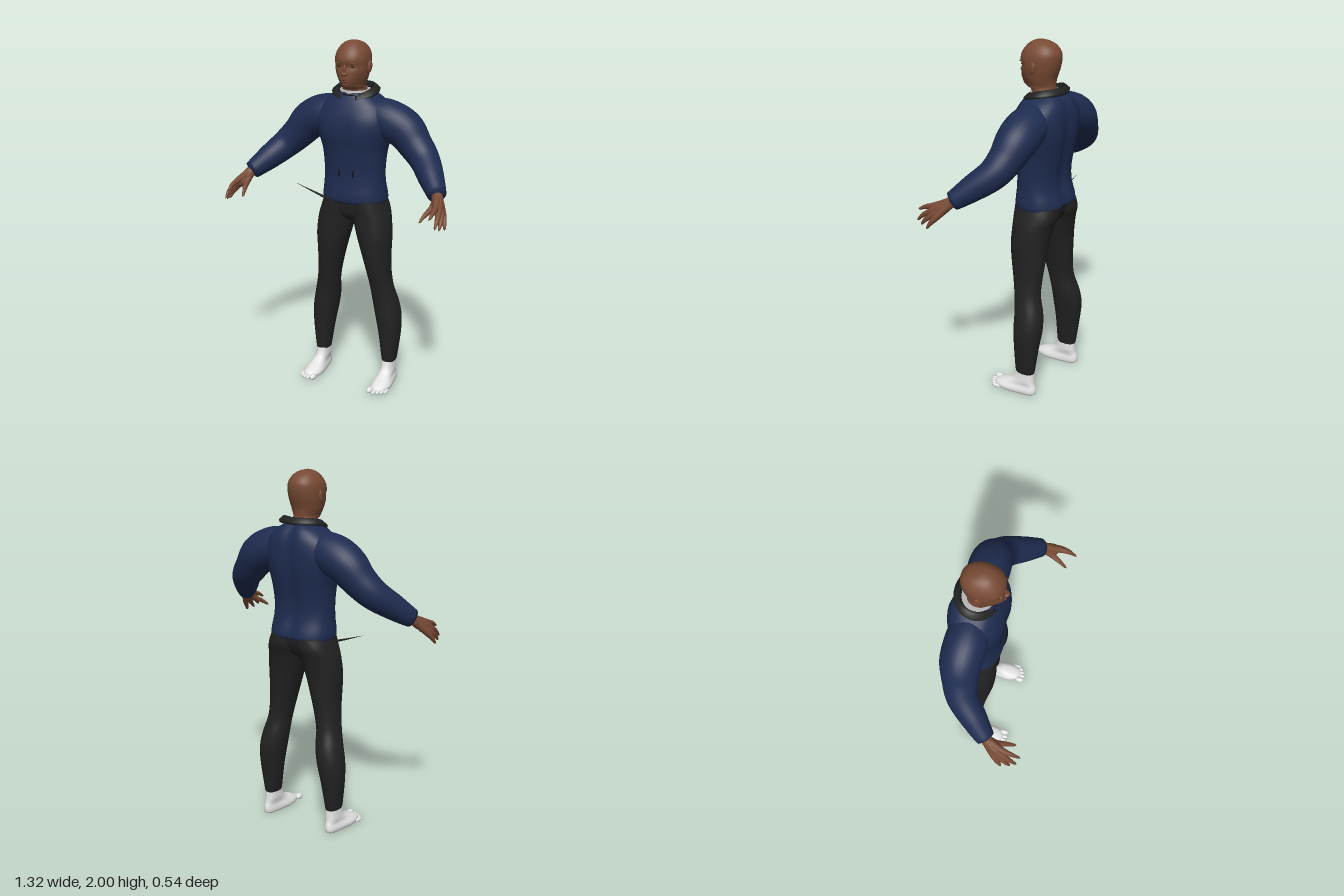
import * as THREE from 'three';
import { mergeVertices } from 'three/addons/utils/BufferGeometryUtils.js';

const paint = (name, color) => Object.assign(new THREE.MeshStandardMaterial({ color }), { name });

// Catmull-Rom blend of equally long rows of numbers, t in 0..1
function blend(rows, t) {
  const f = t * (rows.length - 1), i = Math.min(Math.floor(f), rows.length - 2), u = f - i;
  const at = k => rows[Math.max(0, Math.min(rows.length - 1, k))];
  const [a, b, c, d] = [at(i - 1), at(i), at(i + 1), at(i + 2)];
  return b.map((_, k) => b[k] + 0.5 * u * (c[k] - a[k]
    + u * (2 * a[k] - 5 * b[k] + 4 * c[k] - d[k] + u * (3 * (b[k] - c[k]) + d[k] - a[k]))));
}

function bend(geo, rule) {
  const p = geo.attributes.position, v = new THREE.Vector3();
  for (let i = 0; i < p.count; i++) {
    v.fromBufferAttribute(p, i);
    rule(v, i);
    p.setXYZ(i, v.x, v.y, v.z);
  }
  return geo;
}

function smooth(geo) {
  geo.deleteAttribute('uv');
  geo.deleteAttribute('normal');
  const merged = mergeVertices(geo, 1e-5);
  merged.computeVertexNormals();
  return merged;
}

// Stacked level sections; rows are [y, xMin, xMax, zFront, zBack]
function loft(rows, { power = 2.2, steps = 5, sides = 40, rule } = {}) {
  const pos = [], idx = [], n = (rows.length - 1) * steps;
  const soft = c => Math.sign(c) * Math.abs(c) ** (2 / power);
  for (let i = 0; i <= n; i++) {
    const [y, x0, x1, zf, zb] = blend(rows, i / n);
    for (let j = 0; j < sides; j++) {
      const a = j / sides * Math.PI * 2;
      pos.push((x0 + x1) / 2 + (x1 - x0) / 2 * soft(Math.cos(a)), y, (zf + zb) / 2 + (zf - zb) / 2 * soft(Math.sin(a)));
      const p = i * sides + j, q = i * sides + (j + 1) % sides;
      if (i < n) idx.push(p, p + sides, q, q, p + sides, q + sides);
    }
  }
  const low = pos.length / 3, top = n * sides;
  for (const r of [rows[0], rows[rows.length - 1]]) pos.push((r[1] + r[2]) / 2, r[0], (r[3] + r[4]) / 2);
  for (let j = 0; j < sides; j++) {
    const k = (j + 1) % sides;
    idx.push(low, j, k, low + 1, top + k, top + j);
  }
  const geo = new THREE.BufferGeometry();
  geo.setAttribute('position', new THREE.Float32BufferAttribute(pos, 3));
  geo.setIndex(idx);
  if (rule) bend(geo, rule);
  return smooth(geo);
}

// Round limb of varying thickness; points are [x, y, z, radius]
function limb(points, steps = 24, sides = 16) {
  const curve = new THREE.CatmullRomCurve3(points.map(p => new THREE.Vector3(p[0], p[1], p[2])));
  const geo = new THREE.TubeGeometry(curve, steps, 1, sides);
  bend(geo, (v, i) => {
    const ring = Math.floor(i / (sides + 1)), u = ring / steps, c = curve.getPointAt(u);
    const r = ring === 0 || ring === steps ? 0 : blend(points, curve.getUtoTmapping(u))[3];
    v.sub(c).multiplyScalar(r).add(c);
  });
  return smooth(geo);
}

const blob = (x, y, z, sx, sy, sz) => new THREE.SphereGeometry(1, 20, 14).scale(sx, sy, sz).translate(x, y, z);

function mirrored(geo) {
  const g = geo.clone().scale(-1, 1, 1), ix = g.index;
  for (let i = 0; i < ix.count; i += 3) {
    const b = ix.getX(i + 1);
    ix.setX(i + 1, ix.getX(i + 2));
    ix.setX(i + 2, b);
  }
  g.computeVertexNormals();
  return g;
}

// Folded collar, open at the front
function collarGeometry() {
  const section = [[0.086, -0.03], [0.098, 0.02], [0.11, 0.022], [0.137, 0], [0.133, -0.014], [0.105, -0.01]];
  const pos = [], idx = [], n = 48, m = section.length;
  for (let i = 0; i <= n; i++) {
    const a = 0.34 + (Math.PI * 2 - 0.68) * i / n;
    const y = 1.74 - 0.052 * ((1 + Math.cos(a)) / 2) ** 2;
    section.forEach(([r, h], j) => {
      pos.push(r * Math.sin(a), y + h, -0.13 + r * 0.85 * Math.cos(a));
      const p = i * m + j, q = i * m + (j + 1) % m;
      if (i < n) idx.push(p, p + m, q, q, p + m, q + m);
    });
  }
  for (let j = 1; j < m - 1; j++) idx.push(0, j, j + 1, n * m, n * m + j + 1, n * m + j);
  const geo = new THREE.BufferGeometry();
  geo.setAttribute('position', new THREE.Float32BufferAttribute(pos, 3));
  geo.setIndex(idx);
  geo.computeVertexNormals();
  return geo;
}

export function createModel() {
  const model = new THREE.Group();
  const skin = paint('brown skin', 0x784a34), lip = paint('lip brown', 0x63392b), navy = paint('navy cloth', 0x1e2c50);
  const black = paint('charcoal cloth', 0x222222), white = paint('white sock', 0xe4e4e4), grey = paint('light grey shirt', 0xb4b4b4);
  const dark = paint('eye black', 0x17110f);
  black.side = THREE.DoubleSide;
  const add = (name, geo, mat) => {
    const mesh = new THREE.Mesh(geo, mat);
    mesh.name = name;
    model.add(mesh);
  };
  const pair = (name, geo, mat) => {
    add(name + 'Left', geo, mat);
    add(name + 'Right', mirrored(geo), mat);
  };
  const even = rows => rows.map(([y, w, f, b]) => [y, -w, w, f, b]);

  // Head and neck, with the jaw narrowed toward the chin
  add('head', loft(even([
    [1.66, 0.075, -0.045, -0.19], [1.735, 0.067, -0.045, -0.18], [1.75, 0.067, -0.005, -0.178], [1.765, 0.07, 0.012, -0.176],
    [1.8, 0.083, 0.018, -0.18], [1.85, 0.091, 0.015, -0.197], [1.9, 0.094, 0.018, -0.207], [1.94, 0.086, 0.004, -0.203],
    [1.975, 0.062, -0.025, -0.175], [1.993, 0.034, -0.055, -0.135], [2, 0.004, -0.085, -0.1],
  ]), {
    rule: v => {
      const front = THREE.MathUtils.smoothstep(v.z, -0.1, 0.01);
      v.x *= 1 - 0.35 * front * (1 - THREE.MathUtils.smoothstep(v.y, 1.75, 1.86));
      v.z -= 0.008 * front * Math.exp(-(((v.y - 1.868) / 0.016) ** 2));
    },
  }), skin);
  add('noseBridge', blob(0, 1.85, 0.014, 0.009, 0.03, 0.012), skin);
  add('noseTip', blob(0, 1.828, 0.02, 0.017, 0.011, 0.016), skin);
  add('upperLip', blob(0, 1.797, 0.016, 0.024, 0.005, 0.008), lip);
  add('lowerLip', blob(0, 1.788, 0.015, 0.02, 0.006, 0.008), lip);
  pair('eye', blob(0.036, 1.866, -0.002, 0.016, 0.004, 0.006), dark);
  pair('brow', blob(0.037, 1.884, 0.003, 0.022, 0.005, 0.008), skin);
  pair('ear', blob(0, 0, 0, 0.01, 0.034, 0.02).rotateX(-0.15).rotateY(-0.25).translate(0.094, 1.862, -0.1), skin);

  // Sweater body with spine and chest grooves
  add('sweaterBody', loft(even([
    [1.102, 0.178, 0, -0.255], [1.115, 0.186, 0.008, -0.265], [1.15, 0.185, 0.008, -0.26], [1.22, 0.177, 0, -0.24],
    [1.3, 0.176, 0, -0.238], [1.4, 0.186, 0.012, -0.255], [1.49, 0.21, 0.03, -0.27], [1.57, 0.22, 0.026, -0.274],
    [1.64, 0.195, 0.002, -0.268], [1.69, 0.14, -0.022, -0.25], [1.72, 0.09, -0.04, -0.225],
  ]), {
    power: 2.4, sides: 64,
    rule: v => {
      const groove = Math.exp(-((v.x / 0.035) ** 2));
      if (v.z < -0.2) v.z += 0.015 * groove;
      else if (v.z > -0.04 && v.y > 1.38 && v.y < 1.62) v.z -= 0.008 * groove * Math.sin((v.y - 1.38) / 0.24 * Math.PI);
    },
  }), navy);
  pair('sleeve', limb([
    [0.08, 1.595, -0.135, 0.1], [0.2, 1.57, -0.135, 0.112], [0.29, 1.525, -0.138, 0.109], [0.36, 1.45, -0.125, 0.094],
    [0.425, 1.385, -0.097, 0.083], [0.5, 1.31, -0.015, 0.07], [0.555, 1.255, 0.05, 0.055], [0.575, 1.235, 0.077, 0.049],
  ], 40, 28), navy);
  pair('pocketSlit', new THREE.BoxGeometry(0.007, 0.038, 0.008).translate(0.043, 1.275, -0.002), dark);

  // Collar and striped undershirt
  add('collar', collarGeometry(), black);
  add('undershirt', loft(even([[1.66, 0.1, -0.025, -0.22], [1.7, 0.094, -0.032, -0.215], [1.73, 0.088, -0.042, -0.208]]), { power: 2 }), grey);
  for (const y of [1.69, 1.708]) {
    add('shirtStripe', new THREE.TorusGeometry(0.095, 0.0035, 6, 40).rotateX(Math.PI / 2).scale(1, 1, 0.97).translate(0, y, -0.123), dark);
  }

  // Trousers
  pair('trouserLeg', loft([
    [0.135, 0.178, 0.252, -0.088, -0.198], [0.16, 0.174, 0.258, -0.083, -0.203], [0.3, 0.152, 0.275, -0.077, -0.222], [0.41, 0.13, 0.276, -0.07, -0.236],
    [0.5, 0.115, 0.26, -0.066, -0.228], [0.6, 0.105, 0.235, -0.052, -0.202], [0.7, 0.085, 0.222, -0.033, -0.202],
    [0.8, 0.06, 0.221, -0.016, -0.21], [0.9, 0.03, 0.225, -0.008, -0.217], [1, 0.002, 0.215, -0.008, -0.237],
    [1.06, -0.01, 0.198, -0.005, -0.258], [1.12, -0.02, 0.178, -0.004, -0.255],
  ]), black);
  add('hips', loft(even([[0.99, 0.03, -0.06, -0.18], [1.02, 0.12, -0.025, -0.215], [1.07, 0.165, -0.01, -0.24], [1.12, 0.175, -0.004, -0.25]])), black);
  add('looseThread', limb([[-0.17, 1.085, -0.1, 0.007], [-0.23, 1.105, -0.1, 0.006], [-0.3, 1.128, -0.1, 0.003], [-0.37, 1.152, -0.1, 0.001]], 12, 6), black);

  // Feet, narrower at the heel, with five toes
  pair('foot', loft([
    [0.002, 0.175, 0.272, 0.045, -0.2], [0.012, 0.166, 0.281, 0.058, -0.213], [0.03, 0.165, 0.282, 0.056, -0.216], [0.05, 0.172, 0.272, 0.02, -0.213],
    [0.07, 0.178, 0.264, -0.03, -0.205], [0.1, 0.183, 0.254, -0.07, -0.2], [0.16, 0.185, 0.25, -0.09, -0.195],
  ], {
    power: 2.5,
    rule: v => {
      const heel = (1 - THREE.MathUtils.smoothstep(v.z, -0.16, 0)) * (1 - THREE.MathUtils.smoothstep(v.y, 0.05, 0.1));
      v.x = 0.218 + (v.x - 0.221) * (1 - 0.32 * heel);
    },
  }), white);
  for (let i = 0; i < 5; i++) {
    const size = i ? 0.0125 - 0.0006 * i : 0.017;
    pair('toe' + (i + 1), blob([0.186, 0.214, 0.236, 0.256, 0.273][i], size + 0.003, [0.062, 0.064, 0.055, 0.042, 0.025][i], size, size, 0.028), white);
  }

  // Hands: each finger runs from the wrist through its knuckle to the tip
  const fingers = {
    index: [[0.6, 1.205, 0.165], [0.605, 1.19, 0.218], [0.604, 1.165, 0.265]],
    middle: [[0.617, 1.183, 0.165], [0.628, 1.152, 0.215], [0.63, 1.115, 0.252]],
    ring: [[0.625, 1.166, 0.15], [0.639, 1.135, 0.19], [0.642, 1.1, 0.22]],
    little: [[0.63, 1.155, 0.13], [0.646, 1.124, 0.153], [0.655, 1.092, 0.172]],
    thumb: [[0.566, 1.19, 0.125], [0.548, 1.162, 0.18], [0.533, 1.13, 0.225]],
  };
  for (const [name, [k, m, t]] of Object.entries(fingers)) {
    pair(name + 'Finger', limb([[0.57, 1.24, 0.065, 0.026], [...k, 0.018], [...m, 0.012], [...t, 0.006]], 18, 10), skin);
  }
  pair('palm', limb([[0.565, 1.245, 0.06, 0.03], [0.585, 1.215, 0.1, 0.031], [0.6, 1.188, 0.135, 0.032], [0.612, 1.172, 0.155, 0.016]], 16, 14), skin);
  return model;
}
